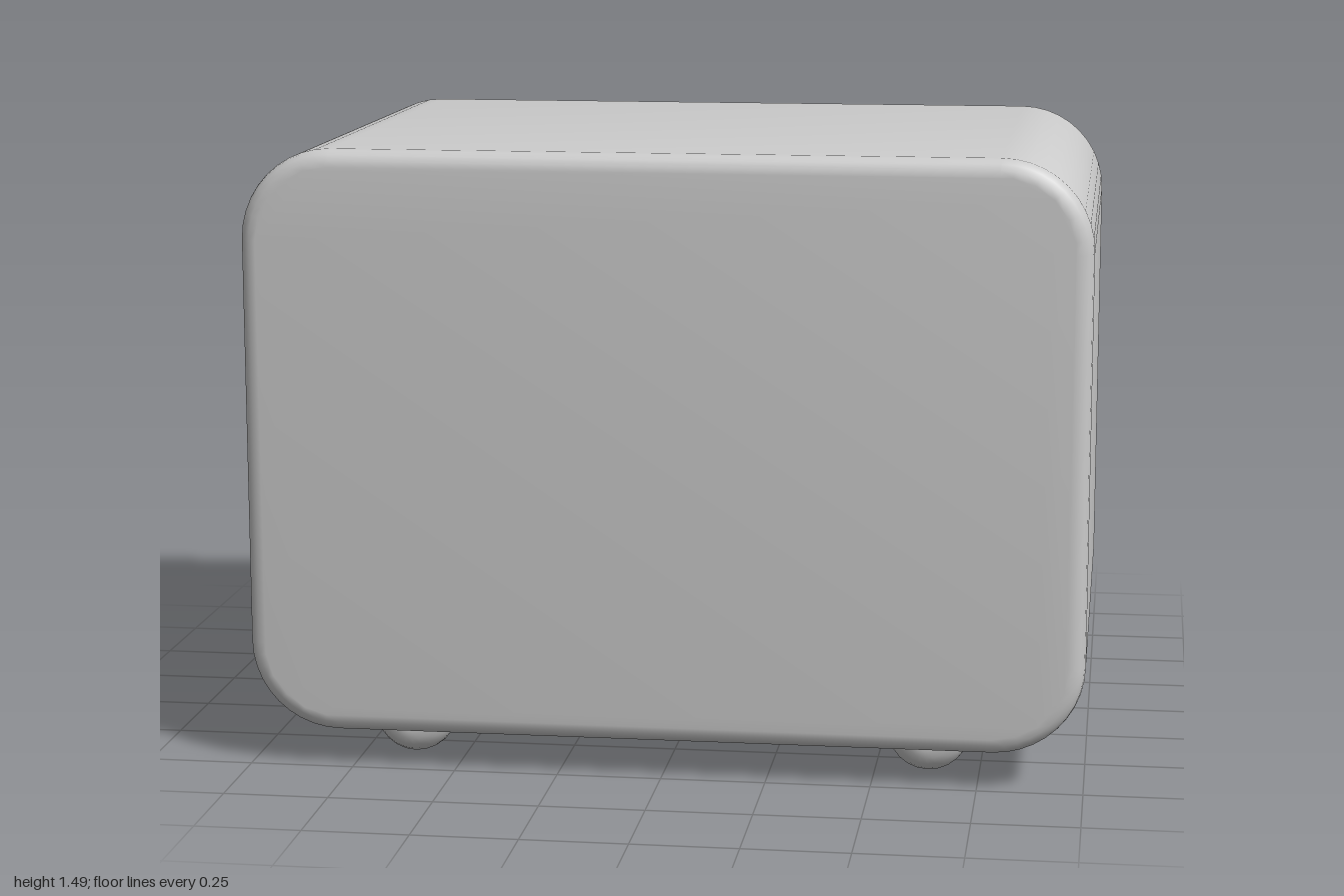
import * as THREE from 'three';
import { toCreasedNormals } from 'three/addons/utils/BufferGeometryUtils.js';

const material = new THREE.MeshStandardMaterial({ color: 0xcccccc });
const BACK = -0.6; // plane that carries the door and the controls

function roundedRect(target, w, h, r) {
  const x = w / 2, y = h / 2;
  target.moveTo(x, -y + r);
  target.lineTo(x, y - r);
  target.absarc(x - r, y - r, r, 0, Math.PI / 2);
  target.lineTo(-x + r, y);
  target.absarc(-x + r, y - r, r, Math.PI / 2, Math.PI);
  target.lineTo(-x, -y + r);
  target.absarc(-x + r, -y + r, r, Math.PI, Math.PI * 1.5);
  target.lineTo(x - r, -y);
  target.absarc(x - r, -y + r, r, Math.PI * 1.5, Math.PI * 2);
  return target;
}

// Bevelled rounded slab between two z planes; rim > 0 leaves only a frame
function slab({ w, h, r, z0, z1, bevel, rim = 0, segments = 8 }) {
  const shape = roundedRect(new THREE.Shape(), w, h, r);
  if (rim) shape.holes.push(roundedRect(new THREE.Path(), w - 2 * rim, h - 2 * rim, r - rim));
  const geometry = new THREE.ExtrudeGeometry(shape, {
    depth: z1 - z0 - 2 * bevel, curveSegments: segments,
    bevelThickness: bevel, bevelSize: bevel, bevelOffset: -bevel, bevelSegments: 4,
  });
  geometry.translate(0, 0, z0 + bevel);
  return toCreasedNormals(geometry, 0.6);
}

export function createModel() {
  const model = new THREE.Group();
  const add = (name, geometry, x = 0, y = 0, z = 0) => {
    const mesh = new THREE.Mesh(geometry, material);
    mesh.name = name;
    mesh.position.set(x, y, z);
    model.add(mesh);
    return mesh;
  };

  // Housing
  add('body', slab({ w: 2, h: 1.405, r: 0.215, z0: BACK, z1: 0.75, bevel: 0.04, segments: 5 }), 0, 0.7875);

  // Door panel with the raised window surround
  add('doorPanel', slab({ w: 1.36, h: 0.8, r: 0.08, z0: BACK - 0.005, z1: BACK + 0.03, bevel: 0.004 }), 0, 0.7);
  add('windowFrame', slab({ w: 1.18, h: 0.53, r: 0.25, z0: BACK - 0.038, z1: BACK + 0.01, bevel: 0.01, rim: 0.035, segments: 14 }), 0, 0.69);

  // Display surround, on the model's left
  add('displayFrame', slab({ w: 0.55, h: 0.24, r: 0.06, z0: BACK - 0.025, z1: BACK + 0.01, bevel: 0.008, rim: 0.04 }), 0.485, 1.29);

  // Bent bar handle
  const v = (x, z) => new THREE.Vector3(x, 0, z);
  const hx = 0.48, hz = -0.717, bend = 0.07;
  const path = new THREE.CurvePath();
  path.add(new THREE.LineCurve3(v(-hx, BACK + 0.02), v(-hx, hz + bend)));
  path.add(new THREE.QuadraticBezierCurve3(v(-hx, hz + bend), v(-hx, hz), v(-hx + bend, hz)));
  path.add(new THREE.LineCurve3(v(-hx + bend, hz), v(hx - bend, hz)));
  path.add(new THREE.QuadraticBezierCurve3(v(hx - bend, hz), v(hx, hz), v(hx, hz + bend)));
  path.add(new THREE.LineCurve3(v(hx, hz + bend), v(hx, BACK + 0.02)));
  add('handle', new THREE.TubeGeometry(path, 90, 0.036, 16), 0, 0.985);

  // Three knobs with softly rounded rims
  const knobProfile = [[0.082, -0.01], [0.082, 0.018], [0.078, 0.03], [0.068, 0.039], [0.052, 0.044], [0, 0.046]]
    .map(([r, y]) => new THREE.Vector2(r, y));
  const knob = new THREE.LatheGeometry(knobProfile, 28);
  knob.rotateX(-Math.PI / 2);
  for (const x of [-0.77, -0.5, -0.23]) add('knob', knob, x, 1.292, BACK);

  // Two long round runners with filleted ends, half sunk into the base
  const length = 1.165, radius = 0.1, fillet = 0.06;
  const footProfile = [new THREE.Vector2(0, -length / 2)];
  for (const end of [-1, 1]) {
    for (let i = 0; i <= 5; i++) {
      const a = (end < 0 ? i : 5 - i) / 5 * Math.PI / 2;
      footProfile.push(new THREE.Vector2(
        radius - fillet + fillet * Math.sin(a),
        end * (length / 2 - fillet + fillet * Math.cos(a))));
    }
  }
  footProfile.push(new THREE.Vector2(0, length / 2));
  const foot = new THREE.LatheGeometry(footProfile, 24);
  foot.rotateX(Math.PI / 2);
  for (const side of [-1, 1]) add('foot', foot, side * 0.627, radius, 0.0575);

  return model;
}
